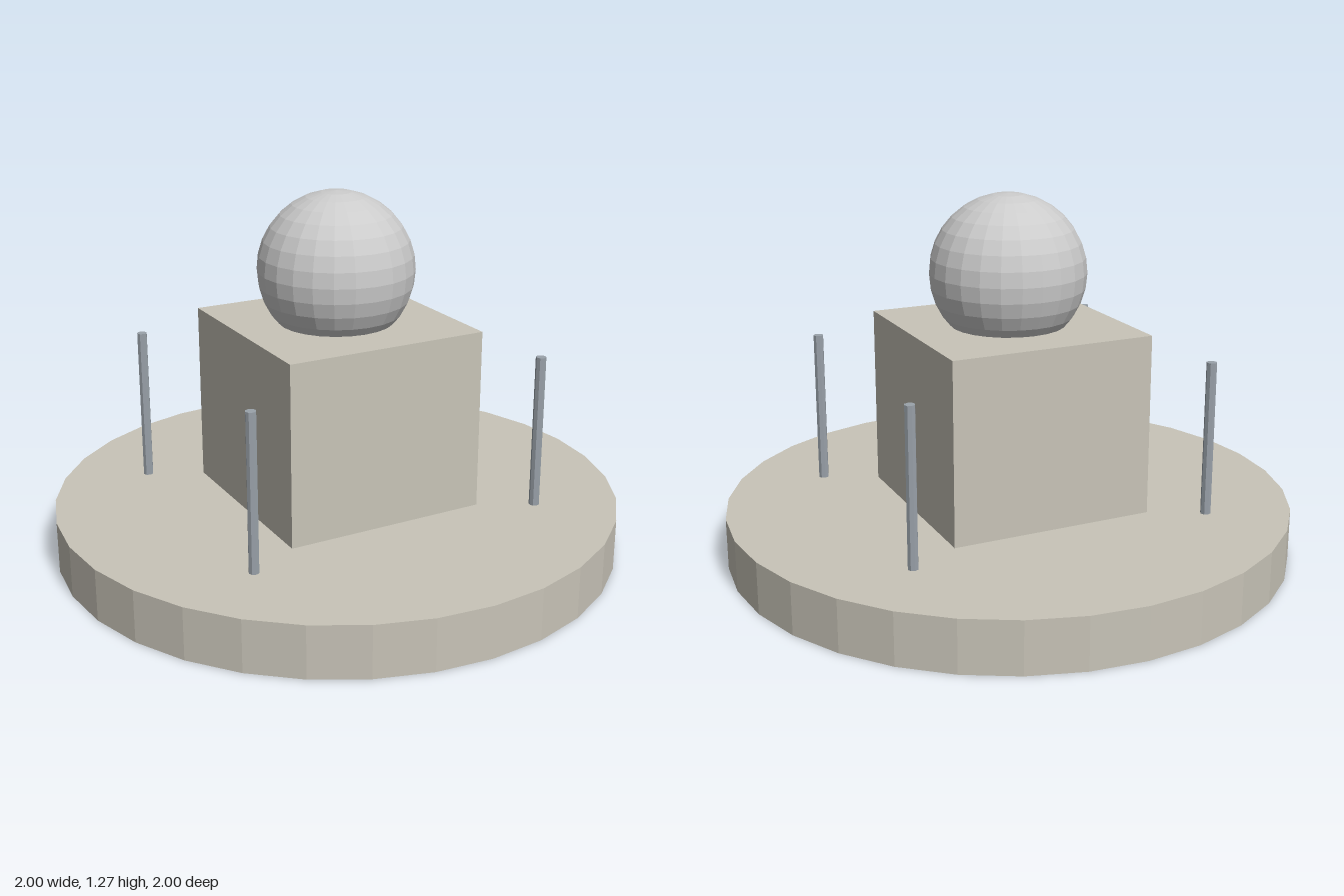
import * as THREE from 'three';

export function createModel() {
  const model = new THREE.Group();
  const material = (color) => new THREE.MeshStandardMaterial({ color, flatShading: true });
  const stone = material(0xc8c4b8);
  const metal = material(0x9aa2aa);
  const grey = material(0xcccccc);

  const add = (name, geometry, mat, x, y, z) => {
    const mesh = new THREE.Mesh(geometry, mat);
    mesh.name = name;
    mesh.position.set(x, y, z);
    model.add(mesh);
  };

  // Round base with a square pedestal
  const baseHeight = 0.182;
  const pedestalHeight = 0.636;
  add('base', new THREE.CylinderGeometry(1, 1, baseHeight, 32), stone, 0, baseHeight / 2, 0);
  add('pedestal', new THREE.BoxGeometry(0.727, pedestalHeight, 0.727), stone,
    0, baseHeight + pedestalHeight / 2, 0);

  // Ball sunk slightly into the pedestal
  add('ball', new THREE.SphereGeometry(0.273, 24, 16), grey, 0, 1, 0);

  // Four thin posts around the pedestal
  const postHeight = 0.545;
  const postGeometry = new THREE.CylinderGeometry(0.018, 0.018, postHeight, 8);
  for (const x of [-0.545, 0.545]) {
    for (const z of [-0.455, 0.455]) {
      const name = (z > 0 ? 'front' : 'back') + (x > 0 ? 'Left' : 'Right') + 'Post';
      add(name, postGeometry, metal, x, baseHeight + postHeight / 2, z);
    }
  }
  return model;
}
